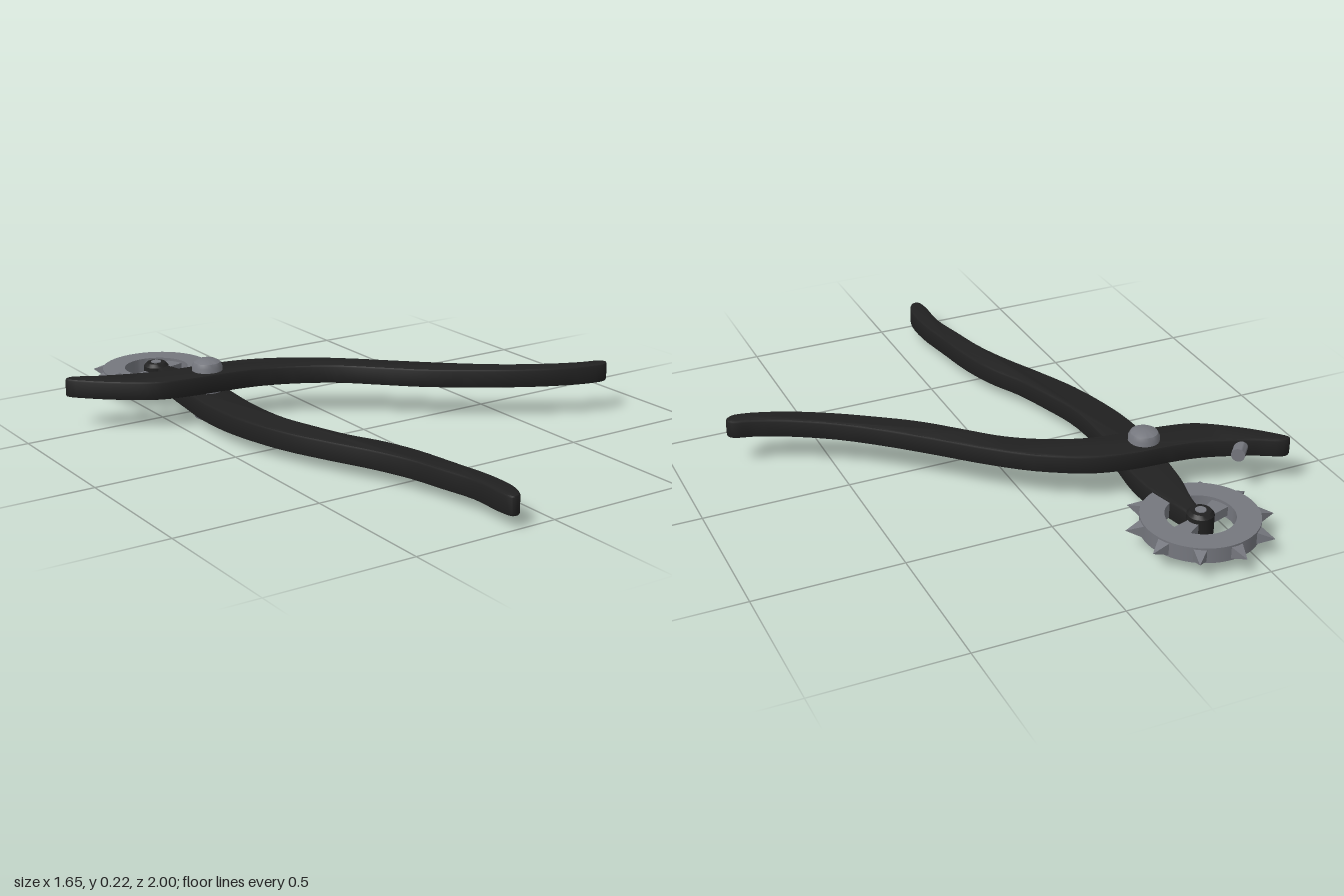
import * as THREE from 'three';
import { toCreasedNormals } from 'three/addons/utils/BufferGeometryUtils.js';

const black = new THREE.MeshStandardMaterial({ color: 0x212121 });
black.name = 'black handle';
const steel = new THREE.MeshStandardMaterial({ color: 0x75777e });
steel.name = 'grey steel';

function add(parent, name, geometry, material, x = 0, y = 0, z = 0) {
  const mesh = new THREE.Mesh(toCreasedNormals(geometry, 0.6), material);
  mesh.name = name;
  mesh.position.set(x, y, z);
  parent.add(mesh);
  return mesh;
}

// Lays an outline drawn in (x, z) flat, between two heights
function slab(shape, bottom, top, bevel) {
  const geometry = new THREE.ExtrudeGeometry(shape, {
    depth: top - bottom - 2 * bevel, bevelEnabled: bevel > 0, bevelThickness: bevel,
    bevelSize: bevel, bevelOffset: -bevel, bevelSegments: 2, curveSegments: 48,
  });
  return geometry.rotateX(Math.PI / 2).translate(0, top - bevel, 0);
}

function smoothOutline(points) {
  const curve = new THREE.CatmullRomCurve3(
    points.map(([x, z]) => new THREE.Vector3(x, z, 0)), true, 'centripetal');
  return new THREE.Shape(curve.getPoints(110).slice(0, -1).map(p => new THREE.Vector2(p.x, p.y)));
}

export function createModel() {
  const model = new THREE.Group();
  model.name = 'revolving punch pliers';

  // Upper arm: jaw tip at the left, long curved grip to the right
  const upper = smoothOutline([
    [-.822, -.575], [-.80, -.588], [-.71, -.545], [-.55, -.487], [-.44, -.47], [-.31, -.46],
    [-.18, -.43], [-.02, -.345], [.11, -.24], [.24, -.115], [.37, .005], [.50, .11],
    [.64, .195], [.74, .24], [.81, .262], [.824, .285],
    [.80, .307], [.755, .305], [.635, .265], [.50, .195], [.37, .11], [.24, .015],
    [.13, -.09], [.03, -.185], [-.08, -.255], [-.21, -.307], [-.34, -.328],
    [-.47, -.34], [-.58, -.365], [-.68, -.43], [-.77, -.51]]);
  add(model, 'upper arm', slab(upper, .11, .176, .008), black);

  // Lower arm: narrow nose at the wheel, grip to the front
  const lower = smoothOutline([
    [-.38, -.775], [-.35, -.74], [-.33, -.67], [-.305, -.565], [-.30, -.46], [-.315, -.32],
    [-.325, -.16], [-.315, 0], [-.28, .13], [-.235, .265], [-.18, .38], [-.14, .51],
    [-.115, .66], [-.092, .82], [-.097, .935], [-.125, .99],
    [-.15, .99], [-.161, .945], [-.16, .82], [-.187, .69], [-.215, .565], [-.26, .44],
    [-.325, .30], [-.39, .15], [-.43, .015], [-.457, -.13], [-.462, -.29],
    [-.445, -.45], [-.43, -.565], [-.405, -.67], [-.395, -.74]]);
  add(model, 'lower arm', slab(lower, .037, .104, .008), black);

  // Pivot rivet with rounded heads
  const rivet = [[0, 0], [.03, .002], [.045, .010], [.052, .024], [.052, .191],
    [.045, .205], [.03, .213], [0, .215]].map(([r, y]) => new THREE.Vector2(r, y));
  add(model, 'pivot rivet', new THREE.LatheGeometry(rivet, 32), steel, -.377, 0, -.397);

  // Anvil peg on the upper jaw
  const peg = add(model, 'anvil', new THREE.CylinderGeometry(.023, .023, .1, 24), steel,
    -.665, .145, -.528);
  peg.quaternion.setFromUnitVectors(new THREE.Vector3(0, 1, 0),
    new THREE.Vector3(.65, 0, -.76).normalize());

  // Punch wheel
  const wheel = new THREE.Group();
  wheel.name = 'punch wheel';
  wheel.position.set(-.383, 0, -.762);
  model.add(wheel);

  const ring = new THREE.Shape().absarc(0, 0, .19, 0, Math.PI * 2);
  ring.holes.push(new THREE.Path().absarc(0, 0, .112, 0, Math.PI * 2, true));
  add(wheel, 'wheel rim', slab(ring, .045, .098, 0), steel);

  // Ten pointed punches around the rim
  for (let i = 0; i < 10; i++) {
    const punch = new THREE.ConeGeometry(.036, .066, 4).rotateY(Math.PI / 4)
      .rotateZ(-Math.PI / 2).translate(.209, 0, 0);
    add(wheel, 'punch', punch, steel, 0, .0715, 0).rotation.y =
      THREE.MathUtils.degToRad(24 + 36 * i);
  }

  // Two spokes widening toward the rim
  const spoke = new THREE.Shape([[.02, -.018], [.118, -.032], [.118, .032], [.02, .018]]
    .map(([x, z]) => new THREE.Vector2(x, z)));
  for (const degrees of [25, 205]) {
    add(wheel, 'spoke', slab(spoke, .055, .088, 0), steel).rotation.y =
      THREE.MathUtils.degToRad(degrees);
  }

  // Hub with a small axle pin
  const hub = [[0, .024], [.034, .024], [.044, .036], [.044, .103], [.034, .115], [0, .115]]
    .map(([r, y]) => new THREE.Vector2(r, y));
  add(wheel, 'hub', new THREE.LatheGeometry(hub, 24), black);
  add(wheel, 'axle pin', new THREE.CylinderGeometry(.018, .018, .097, 20), steel, 0, .0695, 0);

  return model;
}
